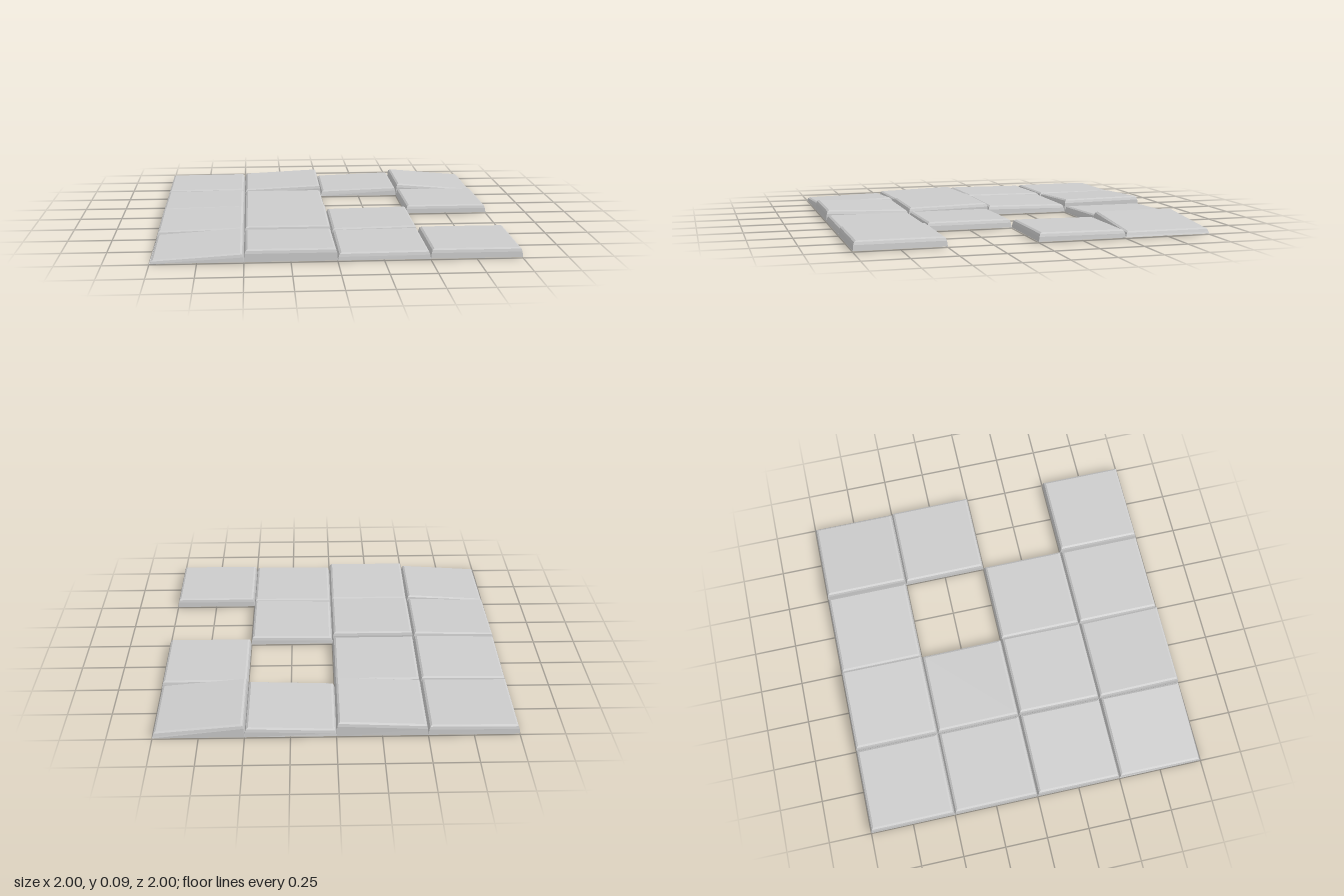
import * as THREE from 'three';

const SIZE = 0.5;
const material = new THREE.MeshStandardMaterial({
  color: 0xcccccc, flatShading: true, side: THREE.DoubleSide,
});

// Wall and bevel profile: inset from the tile edge, depth below the tilted top (null = ground)
const PROFILE = [[0, null], [0.004, 0.022], [0.009, 0.007], [0.02, 0]];

// Per tile, back row first: [centre height, rise across +x, rise across +z]; null = missing tile
const LAYOUT = [
  [[0.052, 0.004, 0], [0.066, 0.022, -0.006], [0.044, 0.016, 0], [0.053, -0.042, 0]],
  [[0.052, 0.008, 0.004], [0.05, 0, 0.008], null, [0.046, 0, 0.004]],
  [[0.054, 0.012, -0.014], [0.067, 0, -0.012], [0.045, 0.008, 0], null],
  [[0.038, 0.03, -0.012], [0.058, 0, 0.016], [0.042, 0.004, 0], [0.052, 0, 0]],
];

// Open-bottomed slab with straight walls, a stepped bevel and a tilted top
function tileGeometry([height, riseX, riseZ]) {
  const corners = [[-1, 1], [1, 1], [1, -1], [-1, -1]];
  const positions = [];
  const index = [];
  for (const [inset, drop] of PROFILE) {
    const r = SIZE / 2 - inset;
    for (const [cx, cz] of corners) {
      const y = drop === null ? 0 : height + (cx * riseX + cz * riseZ) / 2 - drop;
      positions.push(cx * r, y, cz * r);
    }
  }
  for (let ring = 0; ring < PROFILE.length - 1; ring++) {
    for (let i = 0; i < 4; i++) {
      const a = ring * 4 + i;
      const b = ring * 4 + (i + 1) % 4;
      index.push(a, b, b + 4, a, b + 4, a + 4);
    }
  }
  const t = (PROFILE.length - 1) * 4;
  index.push(t, t + 1, t + 2, t, t + 2, t + 3);

  const geometry = new THREE.BufferGeometry();
  geometry.setAttribute('position', new THREE.Float32BufferAttribute(positions, 3));
  geometry.setIndex(index);
  const flat = geometry.toNonIndexed();
  flat.computeVertexNormals();
  return flat;
}

export function createModel() {
  const group = new THREE.Group();
  group.name = 'floorTiles';
  // Four by four grid of loose paving tiles
  LAYOUT.forEach((row, j) => row.forEach((tilt, i) => {
    if (!tilt) return;
    const tile = new THREE.Mesh(tileGeometry(tilt), material);
    tile.name = `tileRow${j + 1}Column${i + 1}`;
    tile.position.set((i - 1.5) * SIZE, 0, (j - 1.5) * SIZE);
    group.add(tile);
  }));
  return group;
}
